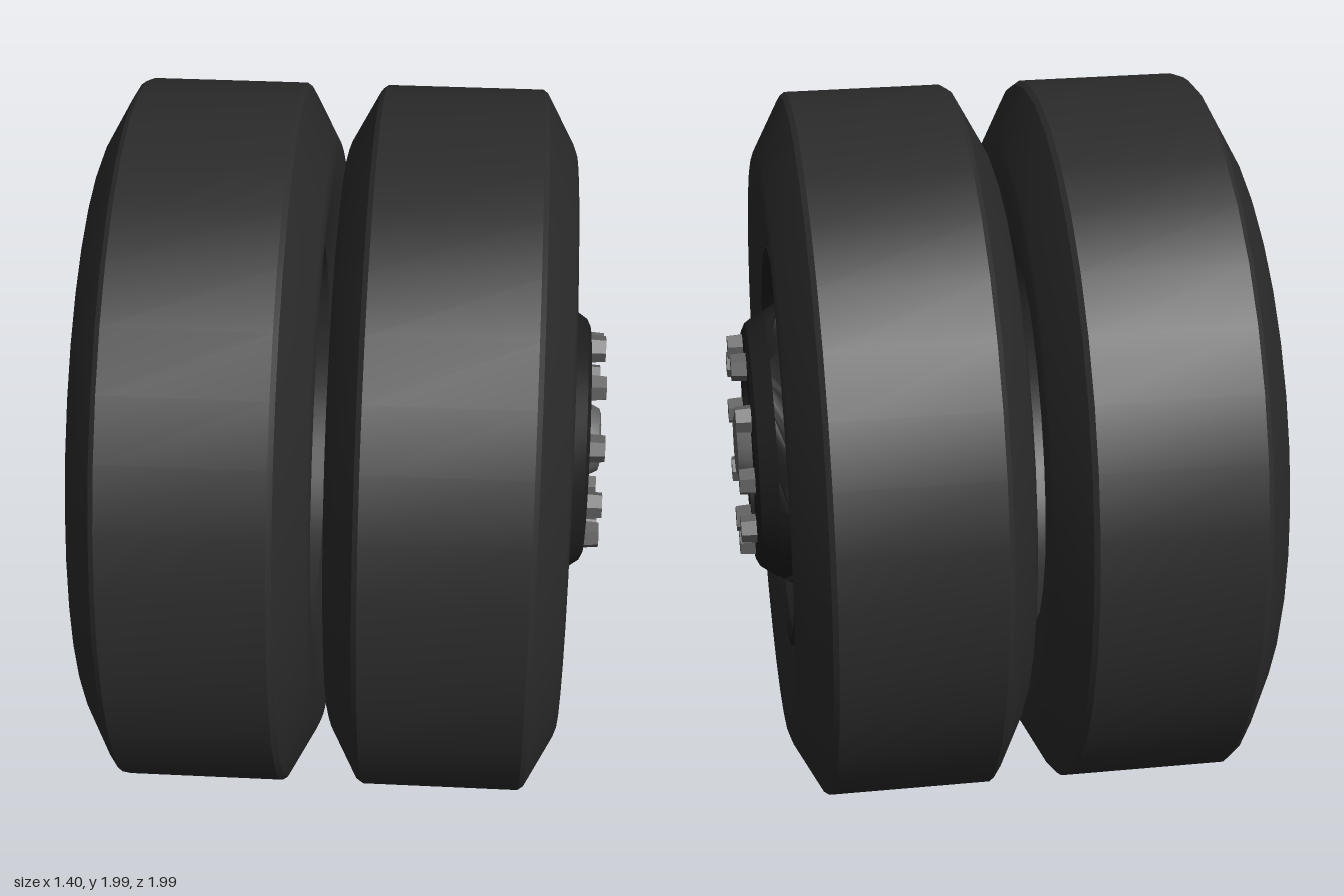
import * as THREE from 'three';
import { toCreasedNormals } from 'three/addons/utils/BufferGeometryUtils.js';

// Inside the assembly, local +z is the axle, pointing outwards.
export function createModel() {
  const material = (name, color, side = THREE.FrontSide) =>
    Object.assign(new THREE.MeshStandardMaterial({ color, side }), { name });
  const rubber = material('tyre rubber', 0x2b2b2b);
  const paint = material('black rim paint', 0x1d1d1d, THREE.DoubleSide);
  const steel = material('bolt steel', 0x606060);

  const assembly = new THREE.Group();
  assembly.name = 'dualWheel';

  const add = (name, geometry, mat, x = 0, y = 0, z = 0) => {
    const mesh = new THREE.Mesh(geometry, mat);
    mesh.name = name;
    mesh.position.set(x, y, z);
    assembly.add(mesh);
    return mesh;
  };

  // Turned part from [radius, axle position] pairs
  const turned = (pairs, segments, crease = 0.45) => {
    const points = pairs.map(([r, z]) => new THREE.Vector2(r, z));
    const geometry = new THREE.LatheGeometry(points, segments);
    geometry.rotateX(Math.PI / 2);
    return toCreasedNormals(geometry, crease);
  };

  // Two tyres, open through the middle
  const tyre = turned([
    [0.55, -0.27], [0.6, -0.29], [0.7, -0.308], [0.82, -0.317], [0.845, -0.308],
    [0.985, -0.232], [0.995, -0.218], [0.995, 0.218], [0.985, 0.232],
    [0.845, 0.308], [0.82, 0.317], [0.7, 0.308], [0.6, 0.29], [0.55, 0.27], [0.55, -0.27],
  ], 36);
  add('outerTyre', tyre, rubber, 0, 0, 0.283);
  add('innerTyre', tyre, rubber, 0, 0, -0.383);

  // Rim flange and barrel
  add('rim', turned([
    [0.545, 0.0], [0.54, 0.3], [0.505, 0.36], [0.505, 0.5], [0.52, 0.535],
    [0.53, 0.565], [0.55, 0.58], [0.565, 0.578], [0.57, 0.56],
  ], 48), paint);

  // Sloping dish with five hand holes
  const dishShape = new THREE.Shape().absarc(0, 0, 0.507, 0, Math.PI * 2, false);
  const centreHole = new THREE.Path().absarc(0, 0, 0.37, 0, Math.PI * 2, true);
  dishShape.holes.push(centreHole);
  for (let i = 0; i < 5; i++) {
    const a = THREE.MathUtils.degToRad(6.5 + i * 72);
    const corners = [];
    for (let k = 0; k < 20; k++) {
      const t = (k / 20) * Math.PI * 2;
      const radial = 0.432 + 0.046 * Math.cos(t);
      const across = 0.046 * Math.sin(t) + 0.052 * Math.sign(Math.round(Math.sin(t) * 100));
      corners.push(new THREE.Vector2(
        radial * Math.cos(a) - across * Math.sin(a),
        radial * Math.sin(a) + across * Math.cos(a)));
    }
    dishShape.holes.push(new THREE.Path(corners));
  }
  const dish = new THREE.ExtrudeGeometry(dishShape, { depth: 0.025, bevelEnabled: false, curveSegments: 60 });
  const p = dish.attributes.position;
  for (let i = 0; i < p.count; i++) {
    const r = Math.hypot(p.getX(i), p.getY(i));
    p.setZ(i, p.getZ(i) + 0.585 - (r - 0.37) * 1.6);
  }
  add('dish', toCreasedNormals(dish, 0.6), paint, 0, 0.008, 0);

  // Bolt flange with an open centre
  add('boltFlange', turned([
    [0.37, 0.585], [0.32, 0.63], [0.215, 0.63], [0.215, 0.66],
    [0.325, 0.66], [0.345, 0.65], [0.38, 0.6],
  ].reverse(), 40), paint, 0, 0.01, 0);

  // Rings of hexagonal bolts
  const boltRing = (name, count, ring, size, depth, z, phase) => {
    const shaft = new THREE.CylinderGeometry(size * 0.92, size, depth, 6).rotateX(Math.PI / 2);
    const bolt = toCreasedNormals(shaft, 0.5);
    for (let i = 0; i < count; i++) {
      const a = THREE.MathUtils.degToRad(phase) + (i / count) * Math.PI * 2;
      const mesh = add(name, bolt, steel, ring * Math.cos(a), 0.012 + ring * Math.sin(a), z);
      mesh.rotation.z = a;
    }
  };
  boltRing('wheelNut', 10, 0.277, 0.04, 0.045, 0.68, 5.5);
  boltRing('hubBolt', 6, 0.165, 0.025, 0.04, 0.62, 17);

  // Central hub cap
  add('hubCap', turned([
    [0, 0.56], [0.125, 0.56], [0.125, 0.6], [0.105, 0.665], [0.09, 0.695], [0.075, 0.7], [0, 0.7],
  ], 16), steel, 0, 0.012, 0);

  assembly.rotation.y = Math.PI / 2;
  assembly.position.y = 1;
  const model = new THREE.Group();
  model.name = 'model';
  model.add(assembly);
  return model;
}
